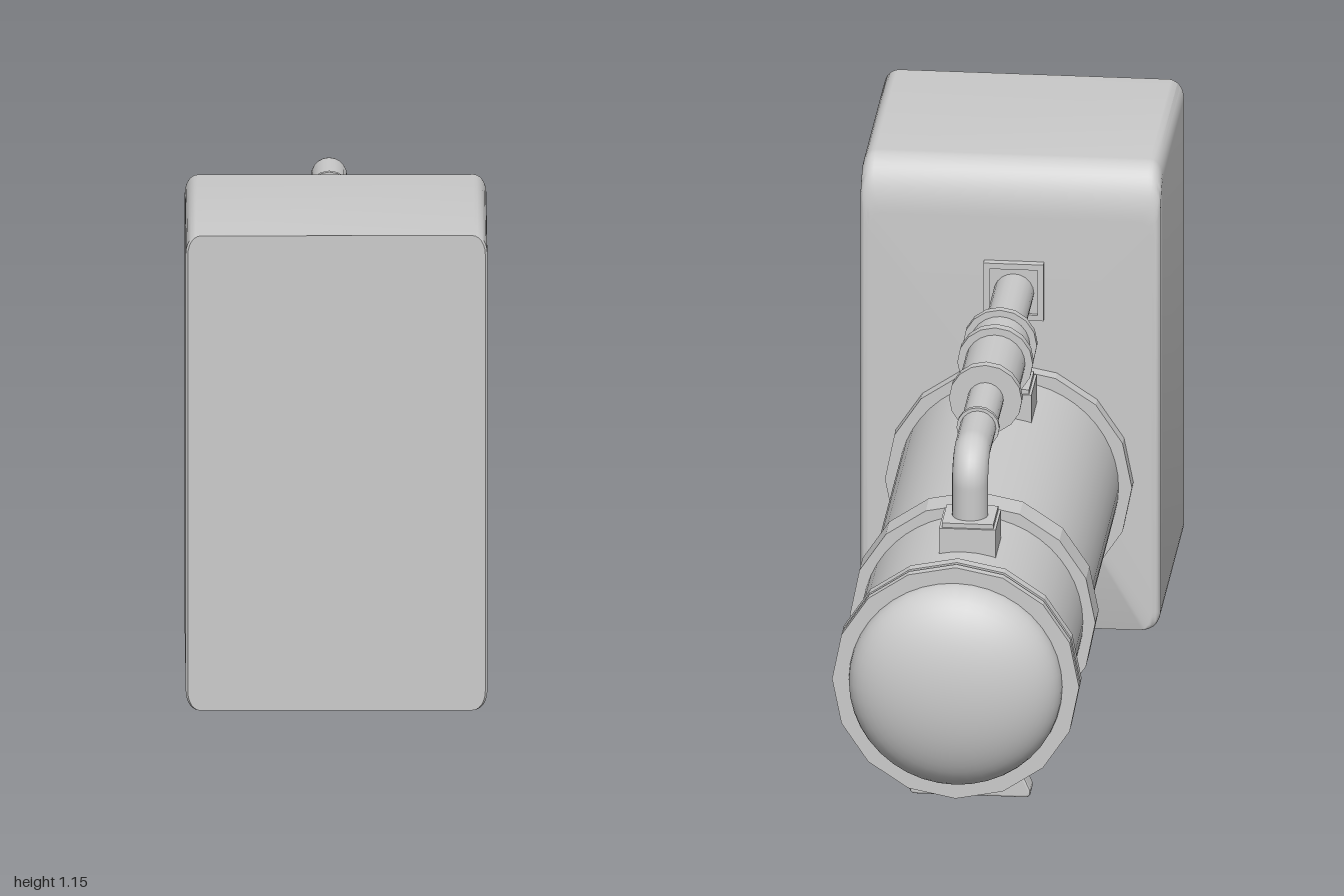
import * as THREE from 'three';
import { toCreasedNormals } from 'three/addons/utils/BufferGeometryUtils.js';

const grey = new THREE.MeshStandardMaterial({ color: 0xcccccc });
const faceted = new THREE.MeshStandardMaterial({ color: 0xcccccc, flatShading: true });
const AXIS_Y = 0.376, PIPE_Y = 0.843, PIPE_X = -0.01;

export function createModel() {
  const model = new THREE.Group();

  const add = (name, geometry, x = 0, y = 0, z = 0, material = grey) => {
    const mesh = new THREE.Mesh(geometry, material);
    mesh.name = name;
    mesh.position.set(x, y, z);
    model.add(mesh);
    return mesh;
  };
  // cylinder along z between two z values
  const drum = (name, r, z0, z1, x, y, sides = 32, material = grey) =>
    add(name, new THREE.CylinderGeometry(r, r, Math.abs(z1 - z0), sides).rotateX(Math.PI / 2),
      x, y, (z0 + z1) / 2, material);

  // cabinet with a large rounded upper back edge
  add('cabinet', cabinetGeometry());

  // horizontal tank with faceted bands and a domed end
  drum('tank', 0.257, 0.43, -0.87, 0, AXIS_Y, 48);
  const bands = [
    ['cabinetFlange', 0.288, 0.425, 0.385],
    ['middleBand', 0.286, -0.39, -0.47],
    ['endFlangeInner', 0.288, -0.82, -0.847],
    ['endFlangeOuter', 0.282, -0.847, -0.858],
    ['endFlangeCover', 0.288, -0.858, -0.88],
  ];
  for (const [name, r, z0, z1] of bands) drum(name, r, z0, z1, 0, AXIS_Y, 16, faceted);
  const dome = new THREE.SphereGeometry(1, 40, 14, 0, Math.PI * 2, 0, Math.PI / 2)
    .rotateX(-Math.PI / 2).scale(0.249, 0.249, 0.12);
  add('endDome', dome, 0, AXIS_Y, -0.88);

  // flared support feet
  const foot = new THREE.Shape();
  foot.moveTo(-0.13, 0);
  foot.lineTo(0.13, 0);
  foot.quadraticCurveTo(0.145, 0.002, 0.14, 0.022);
  foot.lineTo(0.08, 0.15);
  foot.lineTo(-0.08, 0.15);
  foot.lineTo(-0.14, 0.022);
  foot.quadraticCurveTo(-0.145, 0.002, -0.13, 0);
  for (const z of [0.205, -0.61]) {
    const g = new THREE.ExtrudeGeometry(foot, { depth: 0.048, bevelEnabled: true,
      bevelThickness: 0.006, bevelSize: 0.006, bevelOffset: -0.006, bevelSegments: 2, curveSegments: 4 });
    add('foot', g.translate(0, 0, -0.024), PIPE_X, 0, z);
  }

  // pipe sockets on top of the tank
  for (const z of [0.22, -0.635]) {
    add('socketBlock', new THREE.BoxGeometry(0.132, 0.08, 0.132), PIPE_X, 0.65, z);
    add('socketCap', new THREE.BoxGeometry(0.12, 0.012, 0.12), PIPE_X, 0.695, z);
  }

  // overhead pipe, riser and elbow
  drum('mainPipe', 0.047, 0.43, 0.08, PIPE_X, PIPE_Y, 20);
  add('riserPipe', new THREE.CylinderGeometry(0.043, 0.043, 0.15, 20), PIPE_X, 0.765, 0.22);
  const path = new THREE.CurvePath();
  const p = (y, z) => new THREE.Vector3(PIPE_X, y, z);
  path.add(new THREE.LineCurve3(p(PIPE_Y, -0.24), p(PIPE_Y, -0.57)));
  path.add(new THREE.CubicBezierCurve3(p(PIPE_Y, -0.57), p(PIPE_Y, -0.606), p(0.814, -0.635), p(0.778, -0.635)));
  path.add(new THREE.LineCurve3(p(0.778, -0.635), p(0.69, -0.635)));
  add('elbowPipe', new THREE.TubeGeometry(path, 64, 0.042, 20, false));

  // valve body and its collars
  drum('valveBody', 0.07, 0.09, -0.255, PIPE_X, PIPE_Y, 24);
  const collars = [[0.086, 0.1, 0.08], [0.088, -0.012, -0.037], [0.085, -0.243, -0.267], [0.05, -0.435, -0.447]];
  for (const [r, z0, z1] of collars) drum('pipeCollar', r, z0, z1, PIPE_X, PIPE_Y, 16);

  // square wall plate with a raised rim
  const rim = rectangle(0.07, new THREE.Shape());
  rim.holes.push(rectangle(0.056, new THREE.Path()));
  add('wallPlateRim', new THREE.ExtrudeGeometry(rim, { depth: 0.025, bevelEnabled: false }), PIPE_X, 0.848, 0.4);
  add('wallPlate', new THREE.BoxGeometry(0.12, 0.12, 0.015), PIPE_X, 0.848, 0.417);

  return model;
}

function rectangle(h, path) {
  path.moveTo(-h, -h);
  path.lineTo(h, -h);
  path.lineTo(h, h);
  path.lineTo(-h, h);
  path.closePath();
  return path;
}

// rounded rectangular cross-sections from front to back
function cabinetGeometry() {
  const sections = [[1, 0.345, 1.155], [0.994, 0.35, 1.155]];
  const depth = 0.075, backZ = 0.42, steps = 12;
  for (let i = 0; i <= steps; i++) {
    const a = (i / steps) * Math.PI / 2;
    const z = backZ + depth * (1 - Math.sin(a));
    const side = Math.max(0, 1 - (z - backZ) / 0.02);
    const inset = 0.02 * (1 - Math.sqrt(1 - side * side));
    sections.push([z, 0.35 - inset, 1.155 - 0.13 * (1 - Math.cos(a))]);
  }
  const bottom = 0.008, rx = 0.03, ry = 0.045, arc = 6, ring = 4 * (arc + 1);
  const pos = [], idx = [];
  for (const [z, w, top] of sections) {
    const corners = [[w - rx, top - ry], [-w + rx, top - ry], [-w + rx, bottom + ry], [w - rx, bottom + ry]];
    corners.forEach(([cx, cy], q) => {
      for (let k = 0; k <= arc; k++) {
        const a = (q + k / arc) * Math.PI / 2;
        pos.push(cx + rx * Math.cos(a), cy + ry * Math.sin(a), z);
      }
    });
  }
  const last = sections.length - 1, front = pos.length / 3;
  pos.push(0, 0.55, 1, 0, 0.55, backZ);
  for (let j = 0; j < ring; j++) {
    const n = (j + 1) % ring;
    for (let i = 0; i < last; i++) {
      const a = i * ring + j, b = i * ring + n;
      idx.push(a, a + ring, b, b, a + ring, b + ring);
    }
    idx.push(front, j, n, front + 1, last * ring + n, last * ring + j);
  }
  const g = new THREE.BufferGeometry();
  g.setAttribute('position', new THREE.Float32BufferAttribute(pos, 3));
  g.setIndex(idx);
  return toCreasedNormals(g, 0.6);
}
